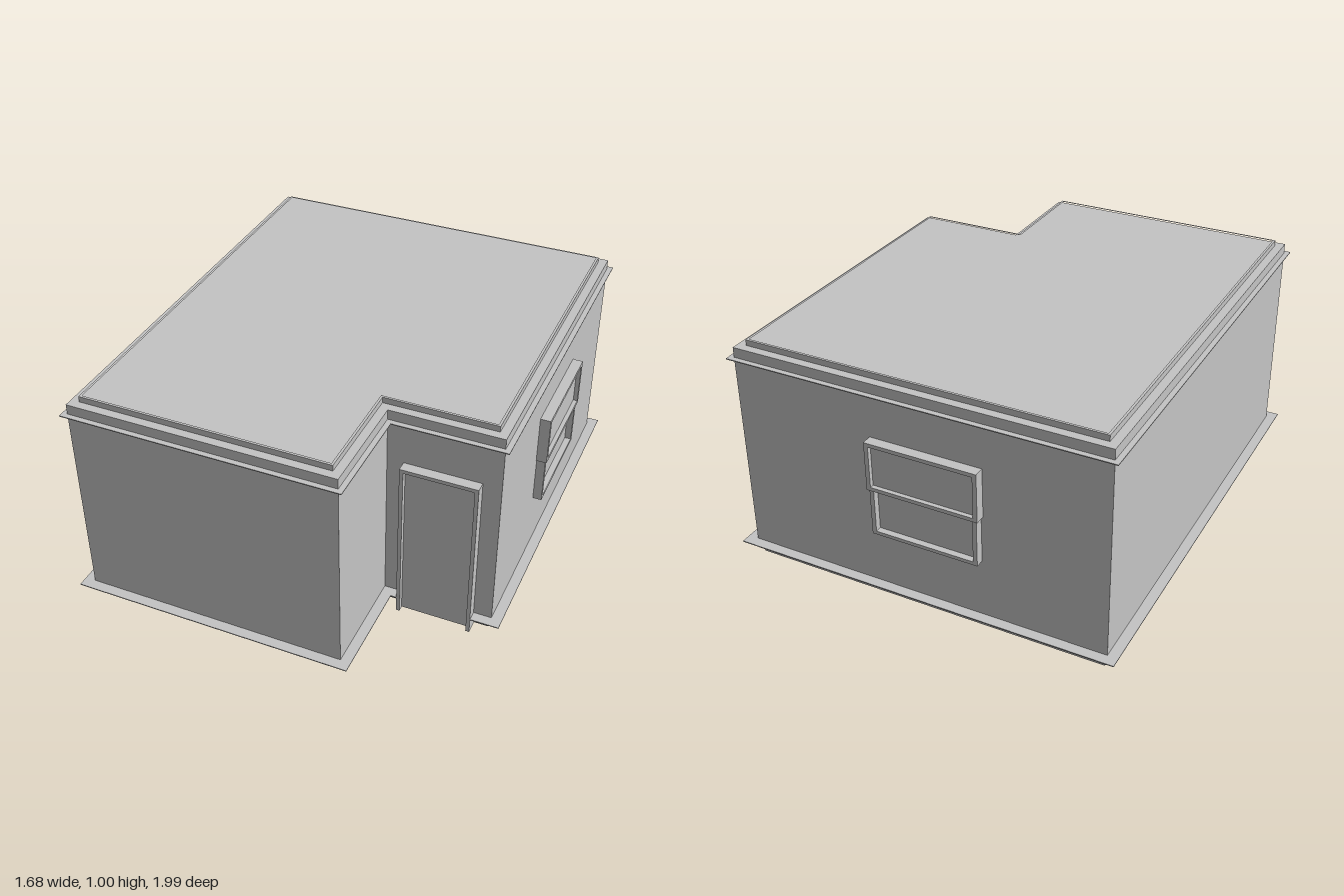
import * as THREE from 'three';

const X = 0.798, Z = 0.953, NX = 0.33, NZ = 0.5; // wall planes and corner notch

// L-shaped floor plan grown by o; doorGap leaves the trim open at the door
function plan(o, doorGap = false) {
  const gap = doorGap ? [[0.72, NZ + o], [0.72, NZ - 0.01], [0.4, NZ - 0.01], [0.4, NZ + o]] : [];
  const pts = [
    [-X - o, -Z - o], [X + o, -Z - o], [X + o, NZ + o], ...gap,
    [NX + o, NZ + o], [NX + o, Z + o], [-X - o, Z + o],
  ];
  return pts.map(([x, z]) => new THREE.Vector2(x, -z));
}

export function createModel() {
  const model = new THREE.Group();
  model.name = 'house';
  const plaster = new THREE.MeshStandardMaterial({ color: 0xc4c4c4 });
  plaster.name = 'pale grey plaster';

  // Horizontal slab or ring from y0 to y1
  function slab(name, outline, y0, y1, hole) {
    const shape = new THREE.Shape(outline);
    if (hole) shape.holes.push(new THREE.Path(hole));
    const geo = new THREE.ExtrudeGeometry(shape, { depth: y1 - y0, bevelEnabled: false });
    geo.rotateX(-Math.PI / 2).translate(0, y0, 0);
    const mesh = new THREE.Mesh(geo, plaster);
    mesh.name = name;
    model.add(mesh);
  }

  // Box given by its limits
  function box(parent, name, x0, x1, y0, y1, z0, z1) {
    const mesh = new THREE.Mesh(new THREE.BoxGeometry(x1 - x0, y1 - y0, z1 - z0), plaster);
    mesh.position.set((x0 + x1) / 2, (y0 + y1) / 2, (z0 + z1) / 2);
    mesh.name = name;
    parent.add(mesh);
  }

  // Body, foundation, and raised roof lip
  slab('foundation', plan(-0.016), 0, 0.022);
  slab('walls', plan(0), 0.022, 0.975);
  slab('roofLip', plan(-0.036), 0.975, 1.0, plan(-0.046));

  // Thin projecting trims
  slab('baseTrim', plan(0.044, true), 0.066, 0.07, plan(-0.03));
  slab('corniceTrim', plan(0.022), 0.928, 0.932, plan(-0.02));

  // Door, with its back on z = 0 and facing +z
  const door = new THREE.Group();
  door.name = 'door';
  door.position.set(0.56, 0, NZ);
  box(door, 'doorPanel', -0.15, 0.15, 0.004, 0.735, -0.01, 0.022);
  for (const s of [-1, 1]) {
    box(door, 'doorJamb', s * 0.153 - 0.008, s * 0.153 + 0.008, 0, 0.745, -0.01, 0.045);
  }
  box(door, 'doorHead', -0.145, 0.145, 0.729, 0.745, -0.01, 0.045);
  model.add(door);

  // Two-part sash window, with its back on z = 0 and facing +z
  function sashWindow(name) {
    const w = new THREE.Group();
    w.name = name;
    box(w, 'upperPane', -0.23, 0.23, 0.54, 0.735, -0.01, 0.026);
    box(w, 'lowerPane', -0.22, 0.22, 0.335, 0.535, -0.01, 0.01);
    for (const s of [-1, 1]) {
      box(w, 'upperStile', s * 0.23 - 0.009, s * 0.23 + 0.009, 0.53, 0.742, -0.01, 0.044);
      box(w, 'lowerStile', s * 0.222 - 0.009, s * 0.222 + 0.009, 0.325, 0.53, -0.01, 0.037);
    }
    box(w, 'topRail', -0.221, 0.221, 0.726, 0.742, -0.01, 0.044);
    box(w, 'meetingRail', -0.221, 0.221, 0.53, 0.546, -0.01, 0.044);
    box(w, 'sill', -0.213, 0.213, 0.325, 0.34, -0.01, 0.037);
    model.add(w);
    return w;
  }
  const side = sashWindow('sideWindow');
  side.position.set(X, 0, -0.225);
  side.rotation.y = Math.PI / 2;
  const back = sashWindow('backWindow');
  back.position.set(-0.045, 0, -Z);
  back.rotation.y = Math.PI;

  return model;
}
